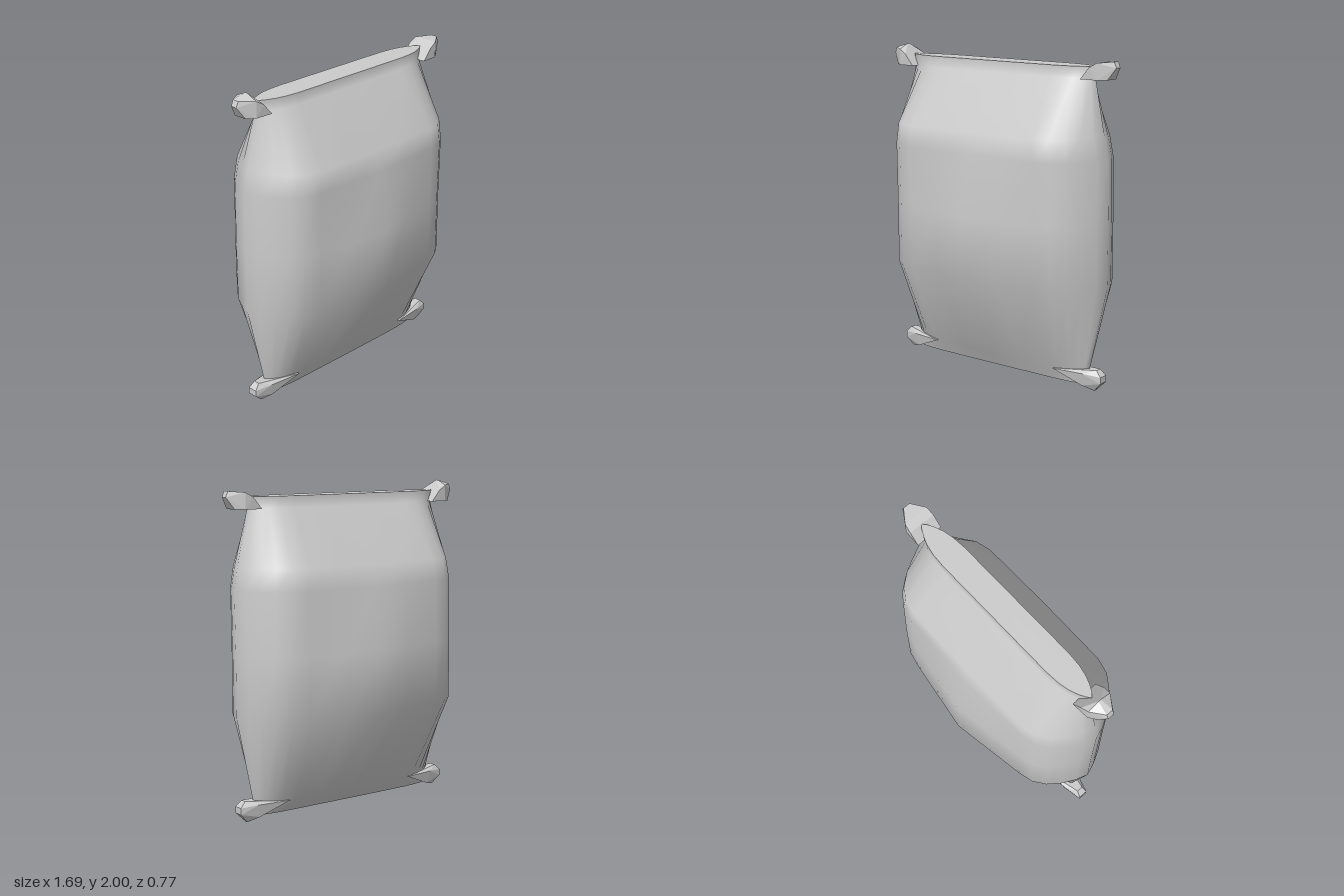
import * as THREE from 'three';
import { ConvexGeometry } from 'three/addons/geometries/ConvexGeometry.js';

// Quarter outline of the pillow section, centre to side: [x share, depth share of the shoulder]
const OUTLINE = [[0, 1], [0.3, 1], [0.61, 1], [0.74, 0.92], [0.835, 0.75], [0.91, 0.51], [0.965, 0.25], [1, 0]];

// Levels of the sack: [y, half width, depth at centre, depth at shoulder, z offset]
const LEVELS = [
  [0.03, 0.67, 0.035, 0.033, 0.015],
  [0.11, 0.67, 0.085, 0.075, 0.008],
  [0.64, 0.785, 0.387, 0.312, 0],
  [1.02, 0.785, 0.387, 0.312, 0],
  [1.4, 0.785, 0.33, 0.31, 0.008],
  [1.53, 0.76, 0.308, 0.303, 0.012],
  [1.87, 0.69, 0.085, 0.085, 0.01],
  [1.94, 0.7, 0.083, 0.083, 0.01],
];

function ring([y, hx, centre, shoulder, oz]) {
  const quarter = OUTLINE.map(([px, pz]) => {
    const ridge = (centre - shoulder) * Math.max(0, 1 - px / 0.61);
    return [px * hx, pz * shoulder + ridge];
  });
  const half = [...quarter, ...quarter.slice(0, -1).reverse().map(([x, z]) => [x, -z])];
  const full = [...half, ...half.slice(1, -1).reverse().map(([x, z]) => [-x, z])];
  return full.map(([x, z]) => [x, y, z + oz]);
}

function sackGeometry() {
  const rings = LEVELS.map(ring);
  const n = rings[0].length;
  const pos = rings.flat(2);
  const index = [];
  for (let i = 0; i < rings.length - 1; i++) {
    for (let j = 0; j < n; j++) {
      const a = i * n + j, b = i * n + (j + 1) % n;
      index.push(a, b, b + n, a, b + n, a + n);
    }
  }
  // End caps have their own vertices so their rims stay crisp
  for (const top of [false, true]) {
    const r = rings[top ? rings.length - 1 : 0];
    const start = pos.length / 3;
    pos.push(...r.flat(), 0, r[0][1], 0.012);
    for (let j = 0; j < n; j++) {
      const a = start + j, b = start + (j + 1) % n;
      index.push(start + n, top ? a : b, top ? b : a);
    }
  }
  const g = new THREE.BufferGeometry();
  g.setAttribute('position', new THREE.Float32BufferAttribute(pos, 3));
  g.setIndex(index);
  g.computeVertexNormals();
  return g;
}

// Faceted corner knot: points [x, y, half depth], doubled front and back
function earGeometry(points, side, oz) {
  const pts = points.flatMap(([x, y, h]) =>
    [1, -1].map((s) => new THREE.Vector3(side * x, y, s * h + oz)));
  return new ConvexGeometry(pts);
}

export function createModel() {
  const group = new THREE.Group();
  const smooth = new THREE.MeshStandardMaterial({ color: 0xcccccc });
  const faceted = new THREE.MeshStandardMaterial({ color: 0xcccccc, flatShading: true });
  const add = (name, geometry, material) => {
    const mesh = new THREE.Mesh(geometry, material);
    mesh.name = name;
    group.add(mesh);
  };

  add('sackBody', sackGeometry(), smooth);

  const topEar = [[0.64, 1.87, 0.086], [0.7, 1.94, 0.086], [0.75, 1.968, 0.08],
    [0.75, 1.87, 0.08], [0.8, 1.87, 0.045], [0.83, 1.975, 0.022], [0.845, 1.94, 0.02]];
  const bottomEar = [[0.46, 0.11, 0.084], [0.65, 0.03, 0.045], [0.665, 0.11, 0.06],
    [0.74, 0.135, 0.02], [0.775, 0.1, 0.03], [0.775, 0.06, 0.03], [0.72, 0.01, 0.015]];

  // The right top corner is pinched up a little higher
  add('topLeftEar', earGeometry(topEar, 1, 0.012), faceted);
  add('topRightEar', earGeometry([...topEar, [0.75, 2, 0.008]], -1, 0.012), faceted);
  add('bottomLeftEar', earGeometry([...bottomEar, [0.718, 0, 0.006]], 1, 0.012), faceted);
  add('bottomRightEar', earGeometry(bottomEar, -1, 0.012), faceted);

  return group;
}
